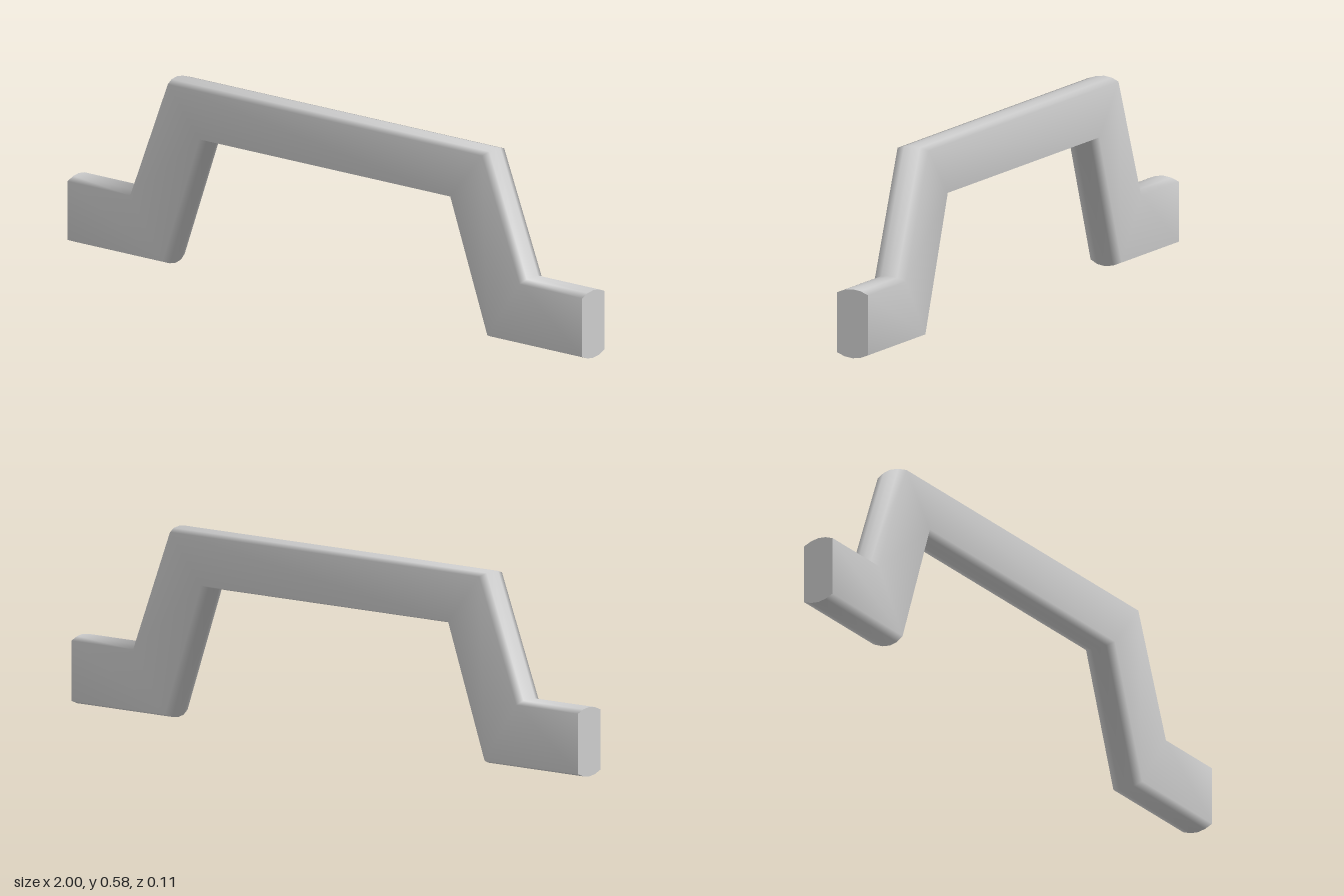
import * as THREE from 'three';

// Cranked bar: mitred cross-sections from one end to the other,
// each given by its bottom and top point in the x-y plane.
const half = [
  { bottom: [-1, 0], top: [-1, 0.212] },            // end
  { bottom: [-0.622, 0], top: [-0.766, 0.212] },    // lower bend
  { bottom: [-0.478, 0.412], top: [-0.62, 0.585] }, // upper bend
];
const mirrorX = ([x, y]) => [-x, y];
const stations = [
  ...half,
  ...half.slice().reverse().map((s) => ({ bottom: mirrorX(s.bottom), top: mirrorX(s.top) })),
];

// Section outline as [z, t]: flat sides, shallow arched top and bottom
const W = 0.053, INSET = 0.066, ARC = 4;
const outline = [];
for (let i = 0; i <= ARC; i++) {
  const u = (2 * i) / ARC - 1;
  outline.push([u * W, INSET * u * u]);
}
for (let i = 0; i <= ARC; i++) {
  const u = 1 - (2 * i) / ARC;
  outline.push([u * W, 1 - INSET * u * u]);
}

function sectionPoints({ bottom, top }) {
  return outline.map(([z, t]) => [
    bottom[0] + (top[0] - bottom[0]) * t,
    bottom[1] + (top[1] - bottom[1]) * t,
    z,
  ]);
}

function toGeometry(points, index) {
  const g = new THREE.BufferGeometry();
  g.setAttribute('position', new THREE.Float32BufferAttribute(points.flat(), 3));
  g.setIndex(index);
  g.computeVertexNormals();
  return g;
}

export function createModel() {
  const group = new THREE.Group();
  const material = new THREE.MeshStandardMaterial({ color: 0xcccccc });
  const n = outline.length;
  const add = (name, geometry) => {
    const mesh = new THREE.Mesh(geometry, material);
    mesh.name = name;
    group.add(mesh);
  };

  // Smooth skin joining neighbouring sections
  const skin = [];
  for (let s = 0; s < stations.length - 1; s++) {
    for (let i = 0; i < n; i++) {
      const a = s * n + i, b = s * n + ((i + 1) % n);
      skin.push(a, a + n, b, b, a + n, b + n);
    }
  }
  add('handleBar', toGeometry(stations.flatMap(sectionPoints), skin));

  // Flat end caps
  const fan = [];
  for (let i = 1; i < n - 1; i++) fan.push(0, i, i + 1);
  add('rightEndCap', toGeometry(sectionPoints(stations[0]), fan));
  add('leftEndCap', toGeometry(sectionPoints(stations[stations.length - 1]), fan.slice().reverse()));

  return group;
}
